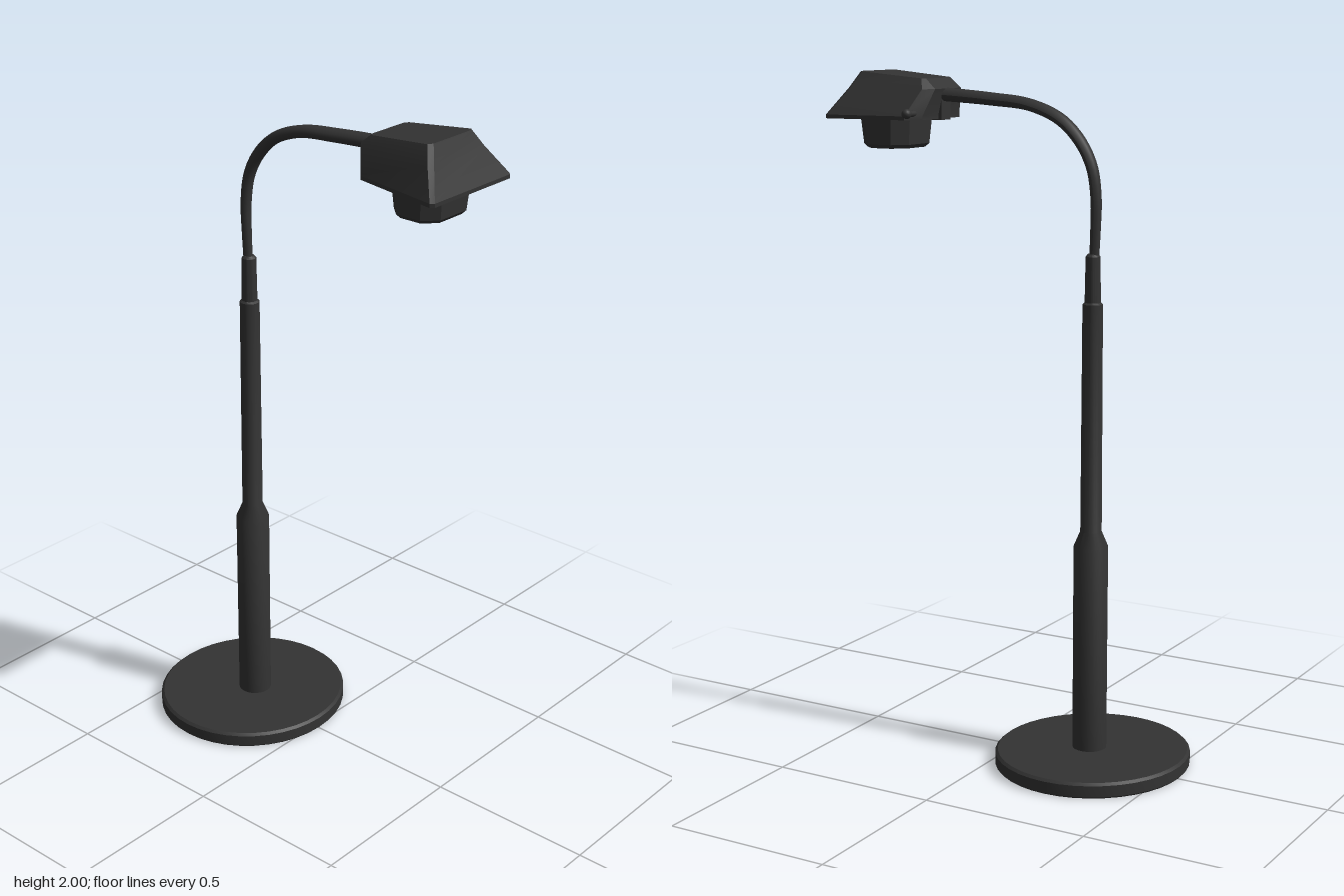
import * as THREE from 'three';
import { toCreasedNormals } from 'three/addons/utils/BufferGeometryUtils.js';

const V = (x, y, z) => new THREE.Vector3(x, y, z);

// Skin over rings of [x, y, z] points (ordered +x, +z, -x, -z, bottom to top), capped at both ends
function loft(rings) {
  const n = rings[0].length, index = [], top = (rings.length - 1) * n;
  for (let r = 0; r < rings.length - 1; r++) {
    for (let i = 0; i < n; i++) {
      const a = r * n + i, b = r * n + (i + 1) % n;
      index.push(a, a + n, b, b, a + n, b + n);
    }
  }
  for (let i = 1; i < n - 1; i++) index.push(0, i, i + 1, top, top + i + 1, top + i);
  const g = new THREE.BufferGeometry();
  g.setAttribute('position', new THREE.Float32BufferAttribute(rings.flat(2), 3));
  g.setIndex(index);
  return toCreasedNormals(g, 0.35);
}

function lathe(points, segments) {
  const g = new THREE.LatheGeometry(points.map(p => new THREE.Vector2(...p)), segments);
  return toCreasedNormals(g, 0.5);
}

export function createModel() {
  const model = new THREE.Group();
  const charcoal = new THREE.MeshStandardMaterial({ color: 0x333333 });
  charcoal.name = 'charcoal';
  const add = (name, geometry, x = 0, y = 0, z = 0) => {
    const mesh = new THREE.Mesh(geometry, charcoal);
    mesh.name = name;
    mesh.position.set(x, y, z);
    model.add(mesh);
    return mesh;
  };

  // Round foot with a softened rim
  const base = add('base', lathe([[0, 0], [0.292, 0], [0.297, 0.005], [0.297, 0.038], [0.289, 0.045], [0, 0.045]], 40), 0, 0, -0.262);
  base.scale.z = 0.955;

  // Stepped pole
  add('pole', lathe([[0.05, 0.04], [0.05, 0.655], [0.031, 0.7], [0.029, 1.36], [0.023, 1.365],
    [0.021, 1.495], [0.015, 1.502], [0, 1.502]], 24), 0, 0, -0.251);

  // Curved neck, widening toward the head
  const path = new THREE.CatmullRomCurve3([V(0, 1.48, -0.254), V(0, 1.57, -0.258), V(0, 1.66, -0.259), V(0, 1.745, -0.245),
    V(0, 1.815, -0.207), V(0, 1.873, -0.145), V(0, 1.911, -0.048), V(0, 1.925, 0.08), V(0, 1.937, 0.27)]);
  const steps = 40, sides = 12;
  const neck = new THREE.TubeGeometry(path, steps, 1, sides);
  const pos = neck.attributes.position;
  for (let i = 0; i < pos.count; i++) {
    const t = Math.floor(i / (sides + 1)) / steps;
    const c = path.getPointAt(t);
    const offset = V(0, 0, 0).fromBufferAttribute(pos, i).sub(c);
    const depth = 0.014 + 0.006 * t, width = 0.013 + 0.016 * Math.min(1, t * 1.3);
    offset.set(offset.x * width, offset.y * depth, offset.z * depth).add(c);
    pos.setXYZ(i, offset.x, offset.y, offset.z);
  }
  neck.computeVertexNormals();
  add('neck', neck);

  // Lamp shade: bevelled hood with a sloping top
  const rim = [[0.15, 0.28], [0.166, 0.535], [0.156, 0.545], [-0.163, 0.545], [-0.172, 0.535], [-0.112, 0.258], [-0.09, 0.243], [0.11, 0.243]];
  const middle = [[0.1, 0.25], [0.118, 0.486], [0.108, 0.497], [-0.108, 0.497], [-0.121, 0.486], [-0.095, 0.243], [-0.07, 0.225], [0.07, 0.225]];
  const crown = [[0.075, 0.268], [0.09, 0.462], [0.08, 0.472], [-0.08, 0.472], [-0.093, 0.462], [-0.08, 0.268], [-0.065, 0.258], [0.065, 0.258]];
  const level = (ring, y) => ring.map(([x, z]) => [x, y, z]);
  add('shade', loft([
    level(rim, 1.866),
    level(rim, 1.877),
    level(middle, 1.952),
    crown.map(([x, z]) => [x, 2 - (0.472 - z) * 0.09, z]),
  ]));

  // Lamp housing below the shade, a chamfered block
  const block = (w, d, c, y) => [[w, -d + c], [w, d - c], [w - c, d], [-w + c, d], [-w, d - c], [-w, -d + c], [-w + c, -d], [w - c, -d]]
    .map(([x, z]) => [x, y, z]);
  add('lampHousing', loft([
    block(0.083, 0.068, 0.035, 1.779),
    block(0.093, 0.078, 0.038, 1.79),
    block(0.1, 0.086, 0.04, 1.872),
  ]), 0, 0, 0.404);

  // Hinge bracket at the back of the shade
  add('hingeBracket', new THREE.BoxGeometry(0.05, 0.075, 0.035), 0, 1.9, 0.25);

  // Switch stem and knob on the left side
  const stem = add('switchStem', new THREE.CylinderGeometry(0.008, 0.01, 0.08, 10), 0.135, 1.884, 0.264);
  stem.rotation.z = -Math.PI / 2;
  const knob = add('switchKnob', new THREE.SphereGeometry(0.014, 14, 10), 0.166, 1.885, 0.26);
  knob.scale.set(1.1, 1, 1);

  return model;
}
